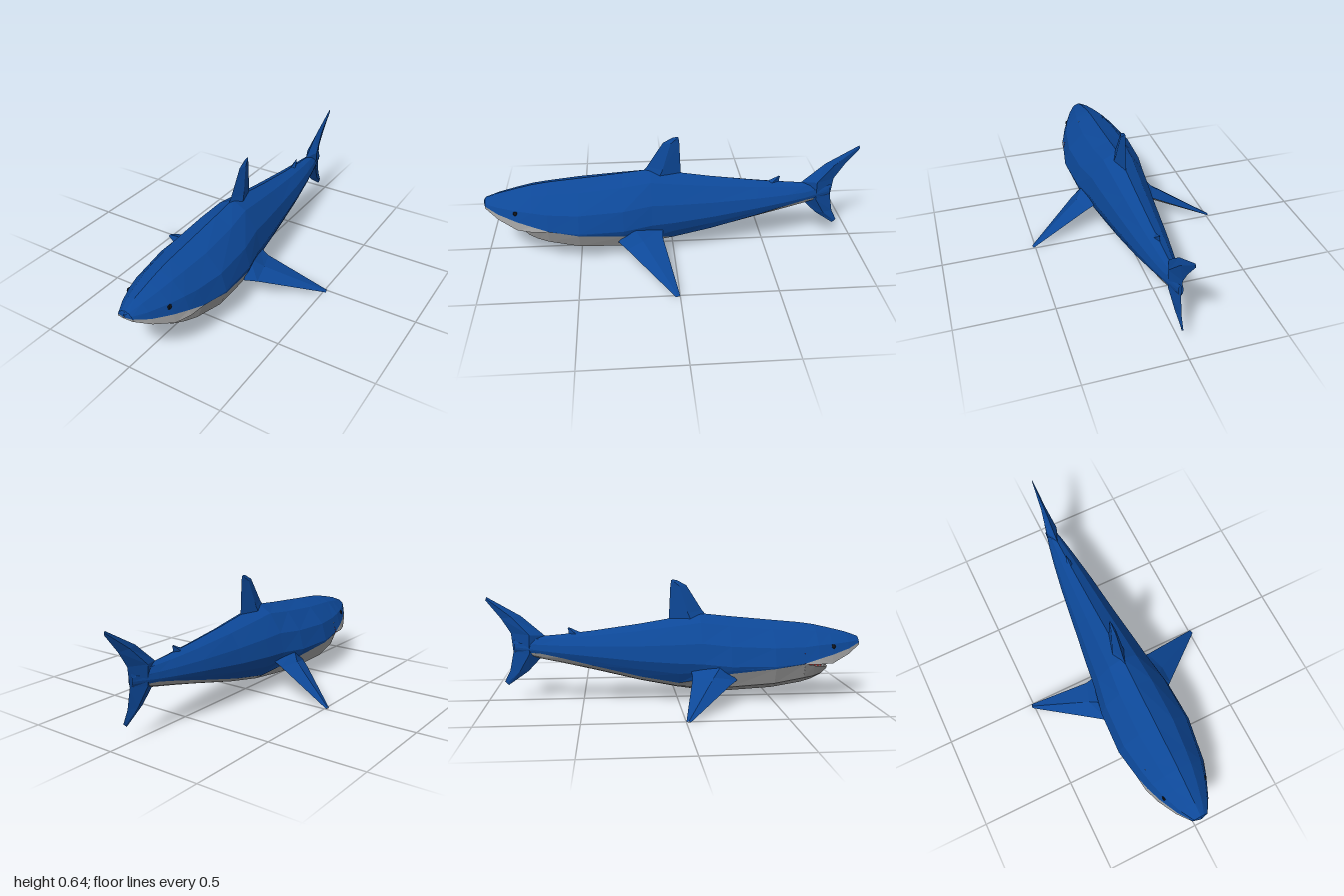
import * as THREE from 'three';

const mat = (name, color) => {
  const m = new THREE.MeshStandardMaterial({ color, flatShading: true, side: THREE.DoubleSide });
  m.name = name;
  return m;
};

// Skin a list of equal-length cross-sections, ordered front to back
function loft(sections, closed = false) {
  const pos = [];
  for (let i = 0; i < sections.length - 1; i++) {
    const p = sections[i], q = sections[i + 1], n = p.length;
    for (let j = 0; j < (closed ? n : n - 1); j++) {
      const k = (j + 1) % n;
      pos.push(...p[j], ...q[j], ...q[k], ...p[j], ...q[k], ...p[k]);
    }
  }
  const g = new THREE.BufferGeometry();
  g.setAttribute('position', new THREE.Float32BufferAttribute(pos, 3));
  g.computeVertexNormals();
  return g;
}

// Half width of the trunk at a fraction f of its height
const PROFILE = [[0, 0], [0.05, 0.46], [0.14, 0.8], [0.4, 1], [0.66, 0.86], [0.9, 0.46], [1, 0]];
function girth(f) {
  for (let i = 1; i < PROFILE.length; i++) {
    const [f0, x0] = PROFILE[i - 1], [f1, x1] = PROFILE[i];
    if (f <= f1) return x0 + (x1 - x0) * (f - f0) / (f1 - f0);
  }
  return 0;
}

// Mirror a half section whose last point lies on the centre line
const mirrorX = half => [...half, ...half.slice(0, -1).reverse().map(([x, y, z]) => [-x, y, z])];

export function createModel() {
  const model = new THREE.Group();
  const blue = mat('back blue', 0x0d4898), grey = mat('belly grey', 0xa3a3a3);
  const red = mat('mouth red', 0x9c1a1a), white = mat('tooth white', 0xe6e6e6), black = mat('eye black', 0x10141c);
  const add = (name, geo, m, parent = model) => {
    const mesh = new THREE.Mesh(geo, m);
    mesh.name = name;
    parent.add(mesh);
    return mesh;
  };

  // Trunk: z, top, bottom, half width, height of the colour seam
  const trunk = [
    [0.66, 0.4, 0.07, 0.182, 0.205], [0.5, 0.415, 0.045, 0.21, 0.185], [0.27, 0.438, 0.03, 0.2, 0.16],
    [0.12, 0.455, 0.038, 0.17, 0.125], [0, 0.435, 0.056, 0.155, 0.1], [-0.2, 0.402, 0.097, 0.127, 0.135],
    [-0.45, 0.368, 0.16, 0.094, 0.195], [-0.62, 0.35, 0.2, 0.066, 0.236], [-0.72, 0.343, 0.222, 0.046, 0.256],
    [-0.86, 0.33, 0.26, 0.012, 0.262]];
  const ring = fractions => trunk.map(([z, t, b, w, s]) => {
    const h = t - b;
    return mirrorX(fractions((s - b) / h).map(f => [w * girth(f), b + f * h, z]));
  });
  add('back', loft(ring(s => [s, (s + 0.4) / 2, 0.41, 0.66, 0.9, 1])), blue);
  add('belly', loft(ring(s => [s, s * 0.4, s * 0.1, 0]).map(r => r.reverse())), grey);

  // Head: z, top, half width, seam, lip, palate
  const head = [
    [1, 0.305, 0.002, 0.292, 0.287, 0.287], [0.99, 0.32, 0.042, 0.29, 0.278, 0.28],
    [0.92, 0.345, 0.088, 0.265, 0.237, 0.245], [0.82, 0.37, 0.135, 0.242, 0.197, 0.203],
    [0.74, 0.388, 0.163, 0.226, 0.198, 0.222], [0.66, 0.4, 0.182, 0.206, 0.2, 0.21]];
  const lipX = (w, z) => w * (z > 0.7 && z < 0.95 ? 1.05 : 1);
  add('headTop', loft(head.map(([z, t, w, s]) =>
    mirrorX([[0, 1], [0.42, 0.86], [0.83, 0.46], [1, 0]].map(([g, x]) => [w * x, s + g * (t - s), z])))), blue);
  for (const side of [1, -1]) {
    add('upperLip', loft(head.map(([z, , w, s, l]) => [[side * lipX(w, z), l, z], [side * w, s, z]])), grey);
  }
  const palate = head.map(([z, , w, , l, p]) => mirrorX([[lipX(w, z), l, z], [w * 0.5, p, z], [0, p, z]]).reverse());
  add('snoutUnderside', loft(palate.slice(0, 4)), grey);
  add('palate', loft(palate.slice(3)), red);

  // Lower jaw: z, half width, lip, bottom
  const jaw = [
    [0.822, 0.005, 0.164, 0.158], [0.812, 0.055, 0.166, 0.142], [0.77, 0.108, 0.175, 0.108],
    [0.72, 0.145, 0.186, 0.087], [0.66, 0.182, 0.204, 0.07]];
  add('lowerJaw', loft(jaw.map(([z, w, l, b]) =>
    mirrorX([[1, 1], [0.82, 0.4], [0.38, 0.1], [0, 0]].map(([x, g]) => [w * x, b + g * (l - b), z])).reverse())), grey);
  for (const side of [1, -1]) {
    add('lowerLip', loft(jaw.map(([z, w, l]) => [[side * w, l, z], [side * w * 0.82, l - 0.003, z - 0.012]])), grey);
  }
  add('mouthFloor', loft(jaw.map(([z, w, l]) => mirrorX([[w * 0.82, l - 0.003, z - 0.012], [0, l - 0.015, z - 0.012]]))), red);

  // Teeth along both jaws
  const tooth = new THREE.ConeGeometry(0.007, 0.02, 4);
  for (let i = -7; i <= 7; i++) {
    const a = i * 0.165, c = Math.cos(a);
    add('lowerTooth', tooth, white).position.set(0.14 * Math.sin(a), 0.17 + 0.03 * (1 - c), 0.655 + 0.148 * c);
    const upper = add('upperTooth', tooth, white);
    upper.position.set(0.145 * Math.sin(a), 0.195, 0.655 + 0.155 * c);
    upper.rotation.x = Math.PI;
  }

  // Eyes
  for (const side of [1, -1]) {
    const eye = add('eye', new THREE.SphereGeometry(0.013, 8, 6), black);
    eye.position.set(side * 0.118, 0.282, 0.825);
    eye.scale.x = 0.6;
  }

  // Upright fins: leading y, z, trailing y, z, half thickness
  const fin = (name, rows) => add(name, loft(rows.map(([ly, lz, ty, tz, t]) => {
    const y = (ly + ty) / 2, z = lz * 0.55 + tz * 0.45;
    return [[0, ly, lz], [t, y, z], [0, ty, tz], [-t, y, z]];
  }), true), blue);
  fin('dorsalFin', [[0.43, 0.17, 0.41, -0.045, 0.034], [0.47, 0.135, 0.45, -0.042, 0.028],
    [0.605, 0.05, 0.6, -0.035, 0.012], [0.632, 0, 0.615, -0.033, 0.006], [0.636, -0.022, 0.632, -0.03, 0.001]]);
  fin('secondDorsalFin', [[0.355, -0.5, 0.345, -0.575, 0.015], [0.372, -0.54, 0.368, -0.575, 0.009],
    [0.388, -0.572, 0.384, -0.58, 0.001]]);
  fin('tailFin', [[0.552, -0.994, 0.535, -1, 0.002], [0.45, -0.82, 0.44, -0.925, 0.014],
    [0.345, -0.7, 0.36, -0.875, 0.032], [0.24, -0.71, 0.26, -0.865, 0.03],
    [0.155, -0.79, 0.16, -0.885, 0.014], [0.082, -0.895, 0.1, -0.915, 0.002]]);

  // Pectoral fins: blue above, grey below
  for (const side of [1, -1]) {
    const group = new THREE.Group();
    group.name = side > 0 ? 'leftPectoralFin' : 'rightPectoralFin';
    model.add(group);
    const m = (x, y, z) => [side * x, y, z];
    const lead = [m(0.18, 0.125, 0.3), m(0.235, 0.11, 0.255), m(0.515, 0.002, 0.022)];
    const trail = [m(0.13, 0.18, 0.06), m(0.19, 0.145, 0.065), m(0.51, 0.003, 0)];
    const top = [m(0.17, 0.205, 0.22), m(0.225, 0.15, 0.17), m(0.513, 0.006, 0.012)];
    const under = [m(0.13, 0.085, 0.18), m(0.19, 0.085, 0.16), m(0.513, 0, 0.012)];
    const skin = mid => loft(lead.map((p, i) => side > 0 ? [trail[i], mid[i], p] : [p, mid[i], trail[i]]));
    add('finTop', skin(top), blue, group);
    add('finUnderside', skin(under), grey, group);
  }
  return model;
}
